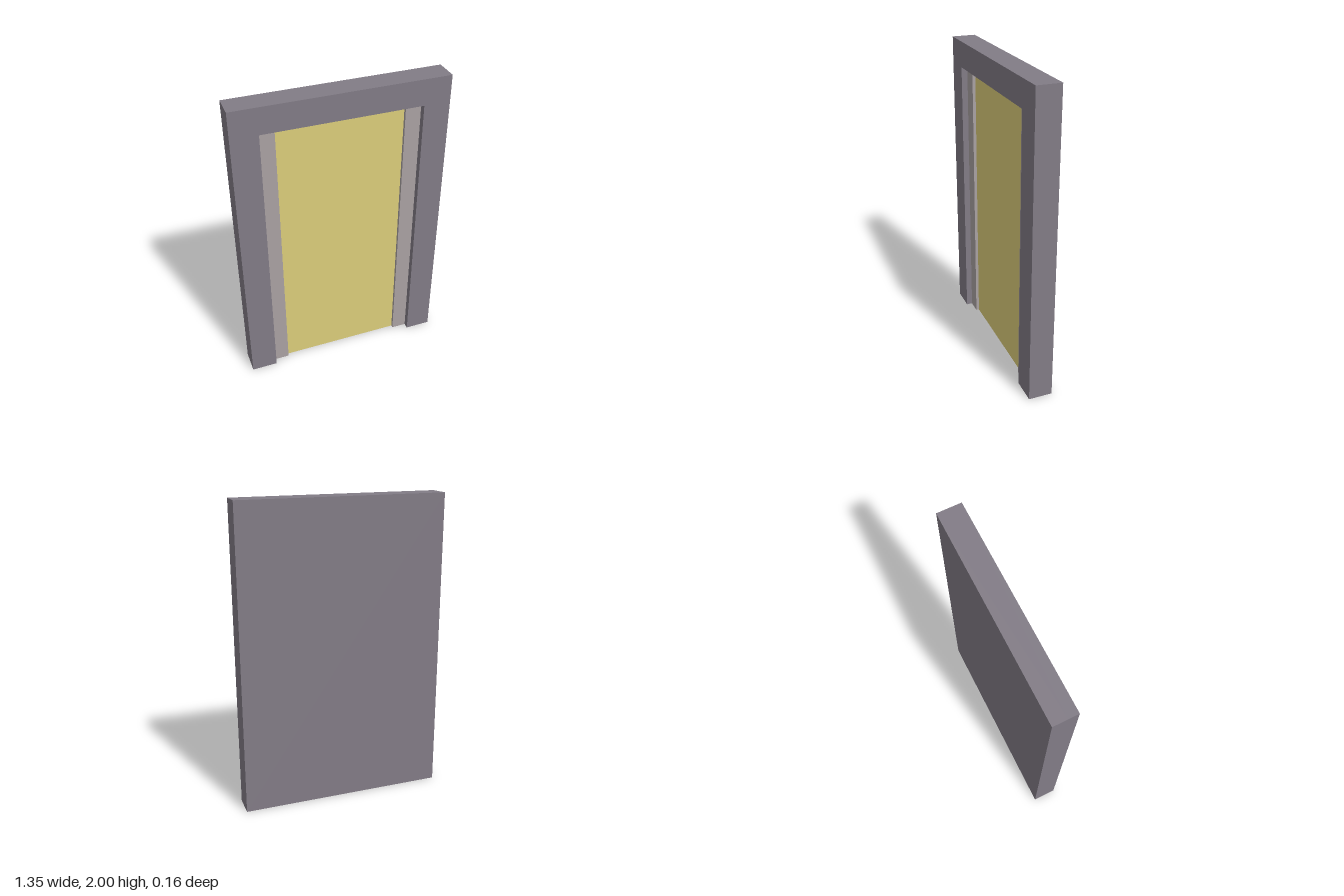
import * as THREE from 'three';

const W = 1.35, H = 2, D = 0.155;      // overall size
const OPEN_W = 1.01, OPEN_H = 1.83;    // opening in the surround
const DOOR_W = 0.81;                   // door between the jambs
const JAMB_Z = D / 2 - 0.04, DOOR_Z = D / 2 - 0.06, WALL_Z = DOOR_Z - 0.004;

const frameMat = new THREE.MeshStandardMaterial({ color: 0x827c86 });
const jambMat = new THREE.MeshStandardMaterial({ color: 0xaaa2a3 });
const doorMat = new THREE.MeshStandardMaterial({ color: 0xdccd7a });

// Box standing on the ground between two depths
function slab(name, x, width, height, zBack, zFront, material) {
  const mesh = new THREE.Mesh(new THREE.BoxGeometry(width, height, zFront - zBack), material);
  mesh.position.set(x, height / 2, (zBack + zFront) / 2);
  mesh.name = name;
  return mesh;
}

export function createModel() {
  const model = new THREE.Group();
  model.name = 'doorway';

  // Solid back wall
  model.add(slab('backWall', 0, W, H, -D / 2, WALL_Z, frameMat));

  // Surround: two posts and a lintel in one piece
  const w = W / 2, o = OPEN_W / 2;
  const outline = new THREE.Shape([
    [-w, 0], [-o, 0], [-o, OPEN_H], [o, OPEN_H], [o, 0], [w, 0], [w, H], [-w, H],
  ].map(([x, y]) => new THREE.Vector2(x, y)));
  const surround = new THREE.Mesh(
    new THREE.ExtrudeGeometry(outline, { depth: D / 2 - WALL_Z, bevelEnabled: false }), frameMat);
  surround.position.z = WALL_Z;
  surround.name = 'surround';
  model.add(surround);

  // Recessed jambs on both sides of the door
  const jambW = (OPEN_W - DOOR_W) / 2;
  for (const [name, side] of [['leftJamb', 1], ['rightJamb', -1]]) {
    model.add(slab(name, side * (DOOR_W + jambW) / 2, jambW, OPEN_H, WALL_Z, JAMB_Z, jambMat));
  }

  // Door panel
  model.add(slab('doorPanel', 0, DOOR_W, OPEN_H, WALL_Z, DOOR_Z, doorMat));

  return model;
}
